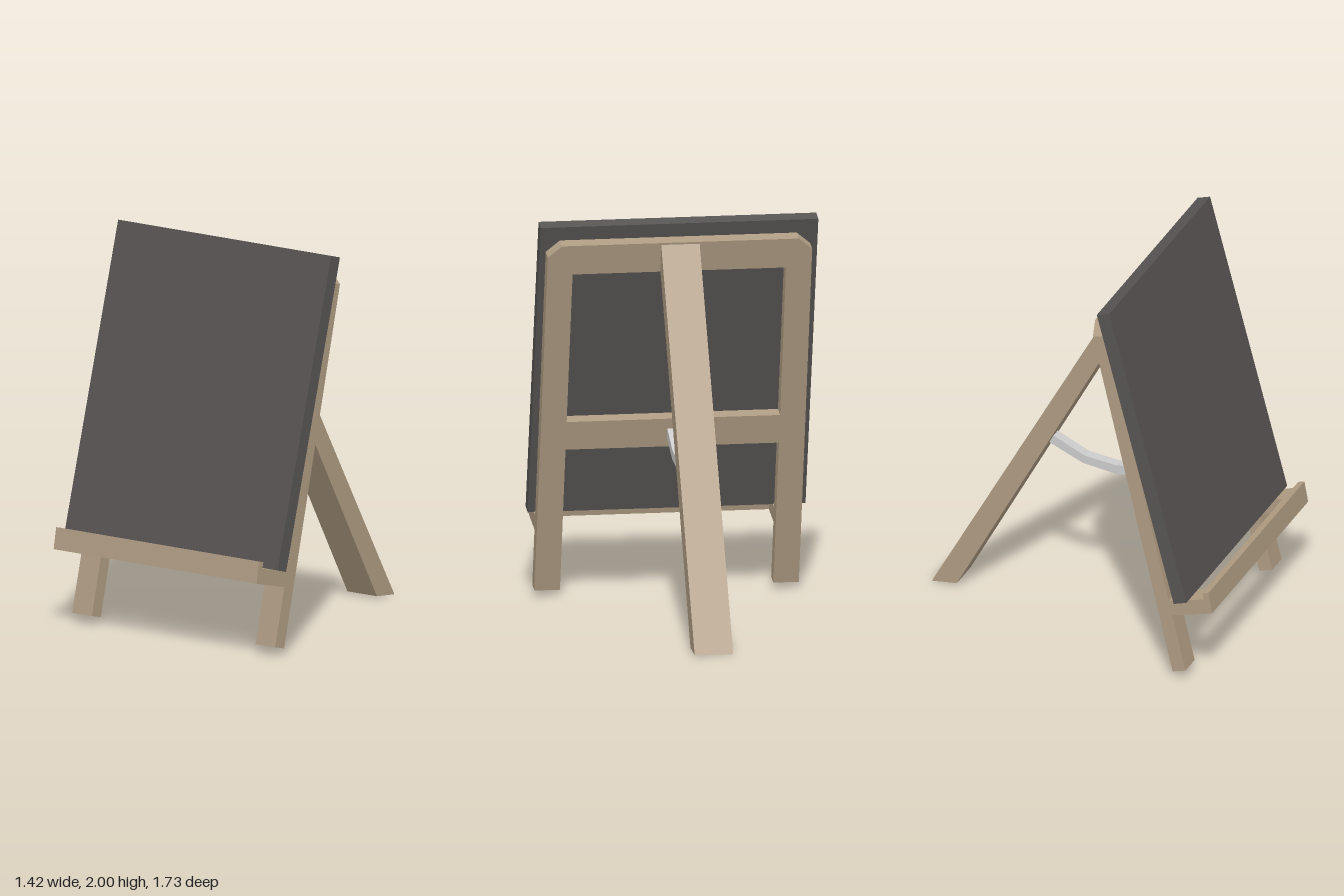
import * as THREE from 'three';

const wood = new THREE.MeshStandardMaterial({ color: 0xae9b82, flatShading: true });
const slate = new THREE.MeshStandardMaterial({ color: 0x575353, flatShading: true });
const metal = new THREE.MeshStandardMaterial({ color: 0xcccccc, flatShading: true });

const toPoints = (list) => list.map(([a, b]) => new THREE.Vector2(a, b));

// Extrudes a side profile of [z, y] points across the width x0..x1
function sideProfile(name, points, x0, x1, material) {
  const geometry = new THREE.ExtrudeGeometry(new THREE.Shape(toPoints(points)), {
    depth: x1 - x0, bevelEnabled: false,
  });
  geometry.rotateY(-Math.PI / 2).translate(x1, 0, 0);
  const mesh = new THREE.Mesh(geometry, material);
  mesh.name = name;
  return mesh;
}

// Leaning front frame: two legs, top rail with cut corners, middle rail
function buildFrame() {
  const outer = 0.674, inner = 0.544;
  const top = 1.917, corner = 1.856, cut = 0.07;
  const railLow = 0.781, railHigh = 0.935, openingTop = 1.758;
  const shape = new THREE.Shape(toPoints([
    [-outer, 0], [-inner, 0], [-inner, railLow], [inner, railLow], [inner, 0], [outer, 0],
    [outer, corner], [outer - cut, top], [cut - outer, top], [-outer, corner],
  ]));
  shape.holes.push(new THREE.Path(toPoints([
    [-inner, railHigh], [-inner, openingTop], [inner, openingTop], [inner, railHigh],
  ])));
  const frame = new THREE.Mesh(
    new THREE.ExtrudeGeometry(shape, { depth: 0.071, bevelEnabled: false }), wood);
  frame.name = 'frontFrame';
  frame.rotation.x = -0.2342;
  frame.position.set(0.003, 0.03, 0.655);
  return frame;
}

export function createModel() {
  const model = new THREE.Group();
  model.name = 'easel';

  // Writing board
  model.add(sideProfile('board',
    [[0.327, 2], [0.26, 1.982], [0.675, 0.43], [0.743, 0.448]], -0.708, 0.708, slate));

  model.add(buildFrame());

  // Tray: lipped front bar carried on two arms
  const tray = new THREE.Group();
  tray.name = 'tray';
  tray.position.x = 0.003;
  tray.add(sideProfile('trayBar',
    [[0.868, 0.395], [0.848, 0.505], [0.815, 0.497], [0.823, 0.465], [0.78, 0.455], [0.798, 0.378]],
    -0.674, 0.674, wood));
  for (const [name, x0, x1] of [['rightTrayArm', -0.674, -0.544], ['leftTrayArm', 0.544, 0.674]]) {
    tray.add(sideProfile(name,
      [[0.78, 0.455], [0.798, 0.378], [0.653, 0.345], [0.634, 0.423]], x0, x1, wood));
  }
  model.add(tray);

  // Rear prop leg, hinged flush against the frame's top rail
  model.add(sideProfile('backLeg',
    [[0.21, 1.885], [0.244, 1.757], [-0.73, 0.01], [-0.865, 0]], -0.095, 0.101, wood));

  // Sagging stay between the middle rail and the rear leg
  model.add(sideProfile('stay',
    [[0.443, 0.888], [0.278, 0.809], [0.104, 0.79], [-0.066, 0.814], [-0.236, 0.899],
      [-0.257, 0.856], [-0.077, 0.772], [0.104, 0.742], [0.284, 0.761], [0.459, 0.84]],
    -0.027, 0.033, metal));

  return model;
}
